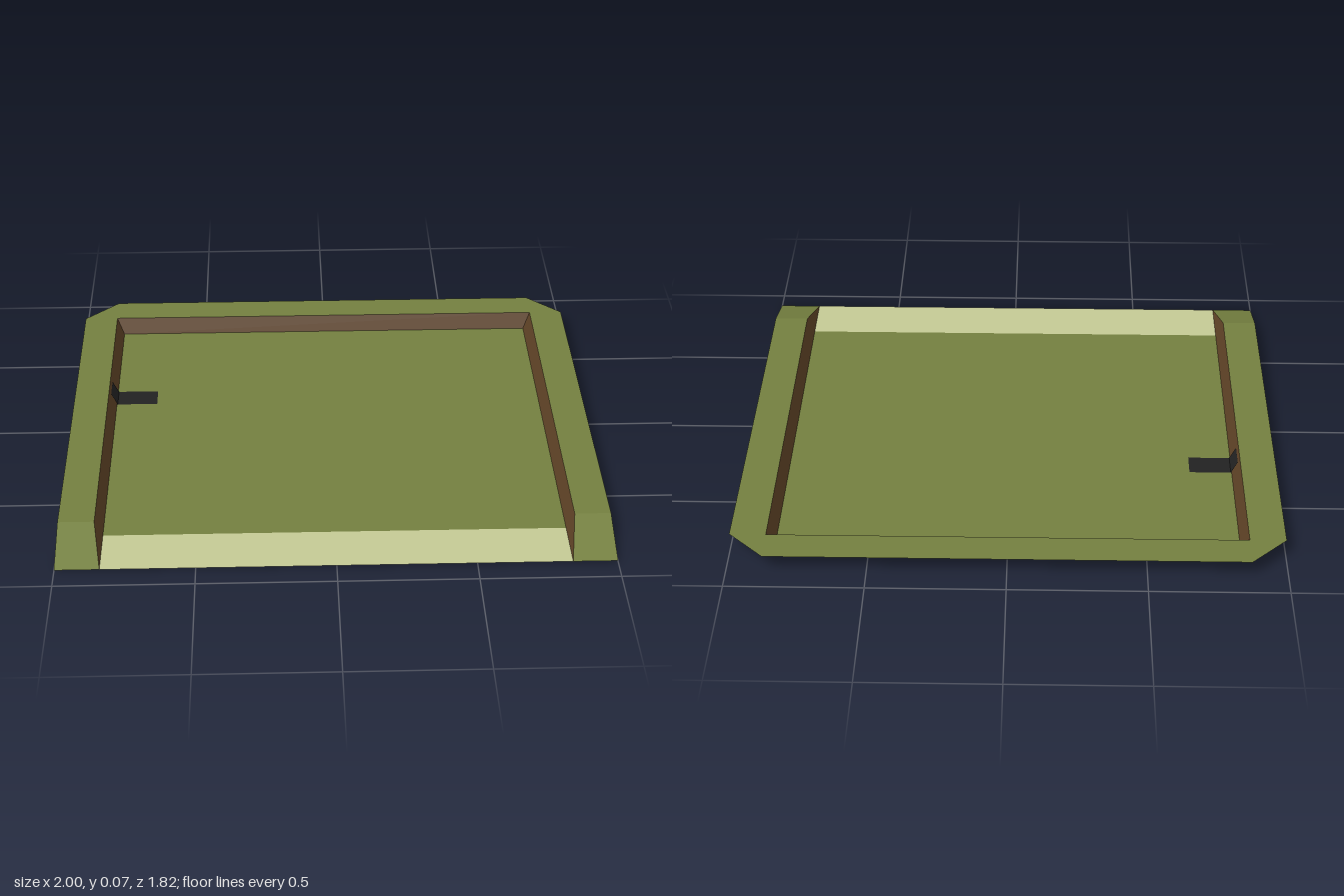
import * as THREE from 'three';

const mat = (name, color) => {
  const m = new THREE.MeshStandardMaterial({ color, side: THREE.DoubleSide, flatShading: true });
  m.name = name;
  return m;
};

// Flat convex panel through the given corners (counter-clockwise from its front)
function panel(name, material, corners) {
  const g = new THREE.BufferGeometry();
  g.setAttribute('position', new THREE.Float32BufferAttribute(corners.flat(), 3));
  const index = [];
  for (let i = 1; i < corners.length - 1; i++) index.push(0, i, i + 1);
  g.setIndex(index);
  g.computeVertexNormals();
  const mesh = new THREE.Mesh(g, material);
  mesh.name = name;
  return mesh;
}

export function createModel() {
  const model = new THREE.Group();
  model.name = 'shallowTray';
  const green = mat('olive green', 0x748040);
  const pale = mat('pale olive', 0xc5ca95);
  const brown = mat('dark brown', 0x5e4226);
  const black = mat('charcoal', 0x222222);

  const floorY = 0.004, rimY = 0.066;      // heights
  const inX = 0.84, rimX = 0.868, outX = 1; // half widths
  const floorBack = -0.757, rimBack = -0.783, outBack = -0.912;
  const bend = 0.705, front = 0.912;        // where the rim starts to slope, front edge

  // Horizontal rectangle facing up
  const slab = (name, material, x0, x1, z0, z1, y) => panel(name, material,
    [[x0, y, z1], [x1, y, z1], [x1, y, z0], [x0, y, z0]]);

  // Floor and pale front threshold
  model.add(slab('floor', green, -inX, inX, floorBack, bend, floorY));
  model.add(slab('frontThreshold', pale, -inX, inX, bend, front, floorY));

  // Back wall and back rim with clipped corners
  model.add(panel('backWall', brown, [
    [-inX, floorY, floorBack], [inX, floorY, floorBack],
    [rimX, rimY, rimBack], [-rimX, rimY, rimBack]]));
  model.add(panel('backRim', green, [
    [-outX, rimY, rimBack], [outX, rimY, rimBack],
    [rimX, rimY, outBack], [-rimX, rimY, outBack]]));

  // Side walls and rims, sloping down to the front edge
  for (const s of [1, -1]) {
    const side = s > 0 ? 'left' : 'right';
    const order = (pts) => (s > 0 ? pts : pts.reverse());
    model.add(panel(side + 'Wall', brown, order([
      [s * inX, floorY, floorBack], [s * inX, floorY, front],
      [s * rimX, rimY, bend], [s * rimX, rimY, rimBack]])));
    model.add(panel(side + 'Rim', green, order([
      [s * rimX, rimY, bend], [s * outX, rimY, bend],
      [s * outX, rimY, rimBack], [s * rimX, rimY, rimBack]])));
    model.add(panel(side + 'RimSlope', green, order([
      [s * inX, floorY, front], [s * outX, floorY, front],
      [s * outX, rimY, bend], [s * rimX, rimY, bend]])));
  }

  // Dark strap: on the floor, up the right wall, and under the tray
  const z0 = -0.286, z1 = -0.19;
  model.add(slab('strapFloor', black, -inX, -0.68, z0, z1, floorY + 0.003));
  model.add(panel('strapWall', black, [
    [-0.86, 0.055, z1], [-inX + 0.004, floorY + 0.002, z1],
    [-inX + 0.004, floorY + 0.002, z0], [-0.86, 0.055, z0]]));
  model.add(slab('strapUnderside', black, -0.93, -0.68, z0, z1, 0));

  // Small block on the outer end of the strap
  const block = new THREE.Mesh(new THREE.BoxGeometry(0.06, 0.025, z1 - z0 - 0.01), brown);
  block.name = 'strapBlock';
  block.position.set(-0.9, 0.0145, (z0 + z1) / 2);
  model.add(block);

  return model;
}
